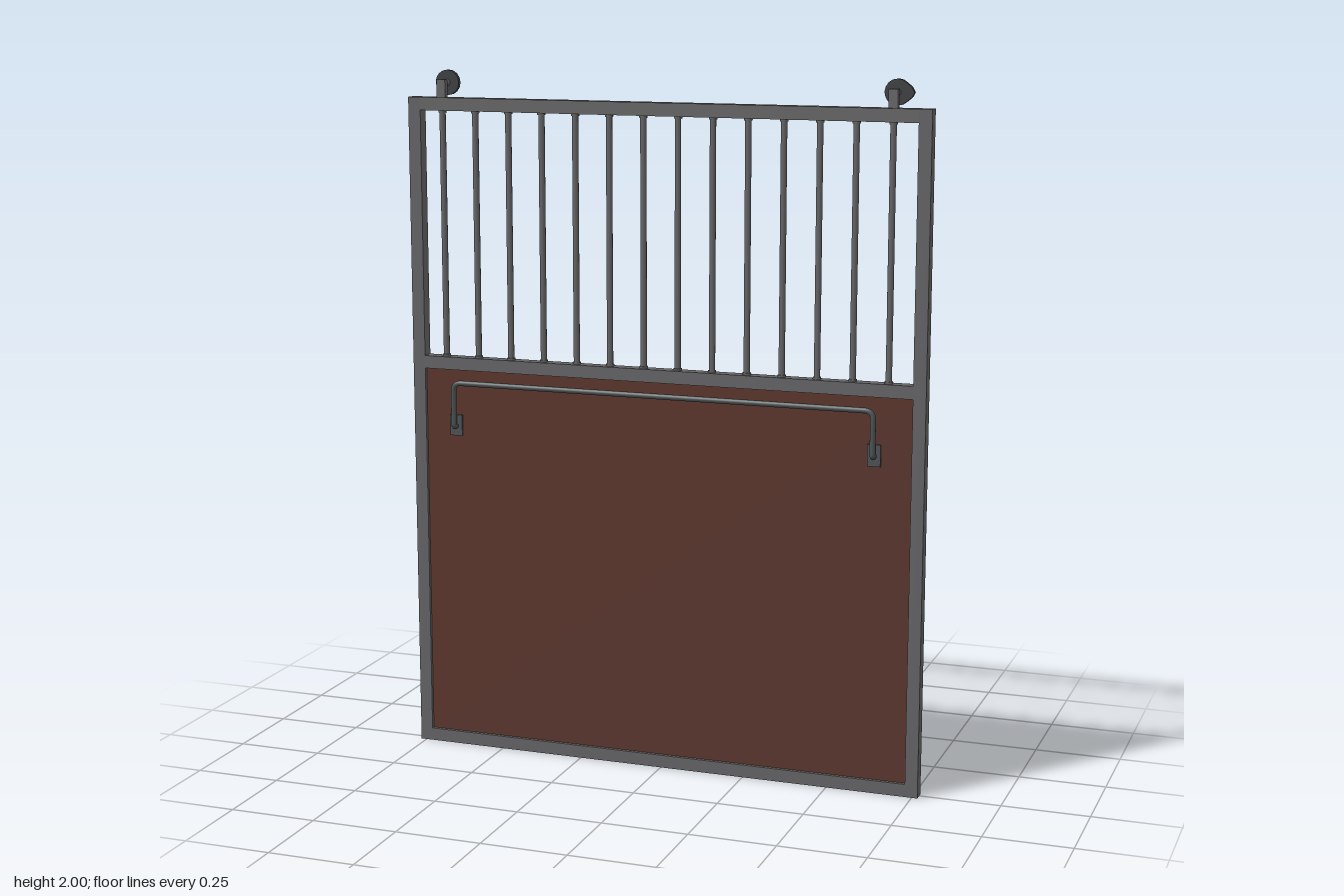
import * as THREE from 'three';

export function createModel() {
  const model = new THREE.Group();
  model.name = 'slidingStallDoor';

  const mat = (name, color) => {
    const m = new THREE.MeshStandardMaterial({ color });
    m.name = name;
    return m;
  };
  const steel = mat('frameSteel', 0x646466);
  const wood = mat('brownPanel', 0x5a352c);
  const handleMetal = mat('handleMetal', 0x4c5254);
  const rollerMetal = mat('darkRoller', 0x3a3b3d);

  const add = (name, geometry, material, x = 0, y = 0, z = 0, parent = model) => {
    const mesh = new THREE.Mesh(geometry, material);
    mesh.name = name;
    mesh.position.set(x, y, z);
    parent.add(mesh);
    return mesh;
  };
  const box = (w, h, d) => new THREE.BoxGeometry(w, h, d);

  // Main dimensions
  const half = 0.767, top = 1.924, tube = 0.037, depth = 0.036, zc = 0.005;
  const midRail = 1.157;
  const inner = 2 * (half - tube);

  // Square-tube frame
  for (const s of [-1, 1]) {
    add(s > 0 ? 'leftStile' : 'rightStile', box(tube, top, depth), steel, s * (half - tube / 2), top / 2, zc);
  }
  const rails = { bottomRail: tube / 2, middleRail: midRail, topRail: top - tube / 2 };
  for (const [name, y] of Object.entries(rails)) {
    add(name, box(inner, tube, depth), steel, 0, y, zc);
  }

  // Solid lower panel, recessed in the frame
  const panelBottom = tube, panelTop = midRail - tube / 2;
  const panelDepth = 0.016;
  add('lowerPanel', box(inner, panelTop - panelBottom, panelDepth), wood, 0, (panelBottom + panelTop) / 2, zc);

  // Round window bars with small weld collars at both ends
  const barLow = midRail + tube / 2, barHigh = top - tube;
  const barGeo = new THREE.CylinderGeometry(0.009, 0.009, barHigh - barLow, 12);
  const collarGeo = new THREE.CylinderGeometry(0.012, 0.012, 0.006, 12);
  const firstBar = -0.668, lastBar = 0.657, count = 14;
  for (let i = 0; i < count; i++) {
    const x = firstBar + (lastBar - firstBar) * i / (count - 1);
    const bar = new THREE.Group();
    bar.name = 'windowBar';
    bar.position.set(x, 0, zc);
    model.add(bar);
    add('barRod', barGeo, steel, 0, (barLow + barHigh) / 2, 0, bar);
    add('lowerCollar', collarGeo, steel, 0, barLow + 0.003, 0, bar);
    add('upperCollar', collarGeo, steel, 0, barHigh - 0.003, 0, bar);
  }

  // Long bent-rod handle: straight runs joined by rounded bends
  const hx0 = -0.636, hx1 = 0.622, hTop = 1.102, hLow = 0.972;
  const hz = 0.033, panelFace = zc + panelDepth / 2;
  const corners = [
    [hx0, hLow, panelFace], [hx0, hLow, hz], [hx0, hTop, hz],
    [hx1, hTop, hz], [hx1, hLow, hz], [hx1, hLow, panelFace],
  ].map(p => new THREE.Vector3(...p));
  const path = new THREE.CurvePath();
  let from = corners[0];
  for (let i = 1; i < corners.length - 1; i++) {
    const r = (i === 1 || i === 4) ? 0.008 : 0.025;
    const c = corners[i];
    const towards = p => c.clone().add(p.clone().sub(c).setLength(r));
    const a = towards(corners[i - 1]), b = towards(corners[i + 1]);
    path.add(new THREE.LineCurve3(from, a));
    path.add(new THREE.QuadraticBezierCurve3(a, c, b));
    from = b;
  }
  path.add(new THREE.LineCurve3(from, corners[5]));
  add('handleRod', new THREE.TubeGeometry(path, 400, 0.008, 10), handleMetal);
  for (const x of [hx0, hx1]) {
    add('handlePlate', box(0.038, 0.062, 0.006), handleMetal, x, 0.974, panelFace + 0.003);
  }

  // Hanger rollers behind the top rail
  const rollerY = 1.964, rollerR = 0.036;
  const roller = (name, x, pointed) => {
    const group = new THREE.Group();
    group.name = name;
    group.position.set(x, rollerY, 0);
    model.add(group);
    add('hangerPost', box(0.026, 0.052, 0.017), steel, 0, -0.015, 0.006, group);
    const axle = new THREE.CylinderGeometry(0.01, 0.01, 0.034, 12);
    axle.rotateX(Math.PI / 2);
    add('axle', axle, steel, 0, 0, -0.015, group);
    const disc = new THREE.CylinderGeometry(rollerR, rollerR, 0.013, 16);
    disc.rotateX(Math.PI / 2);
    // One wheel has a pointed outer rim
    if (pointed) {
      const p = disc.attributes.position;
      for (let i = 0; i < p.count; i++) {
        if (p.getX(i) > rollerR * 0.99) p.setX(i, 0.047);
        else if (p.getX(i) > rollerR * 0.9) p.setX(i, 0.04);
      }
      disc.computeVertexNormals();
    }
    add('wheel', disc, rollerMetal, 0, 0, -0.0365, group);
  };
  roller('rightRoller', firstBar, false);
  roller('leftRoller', lastBar, true);

  return model;
}
